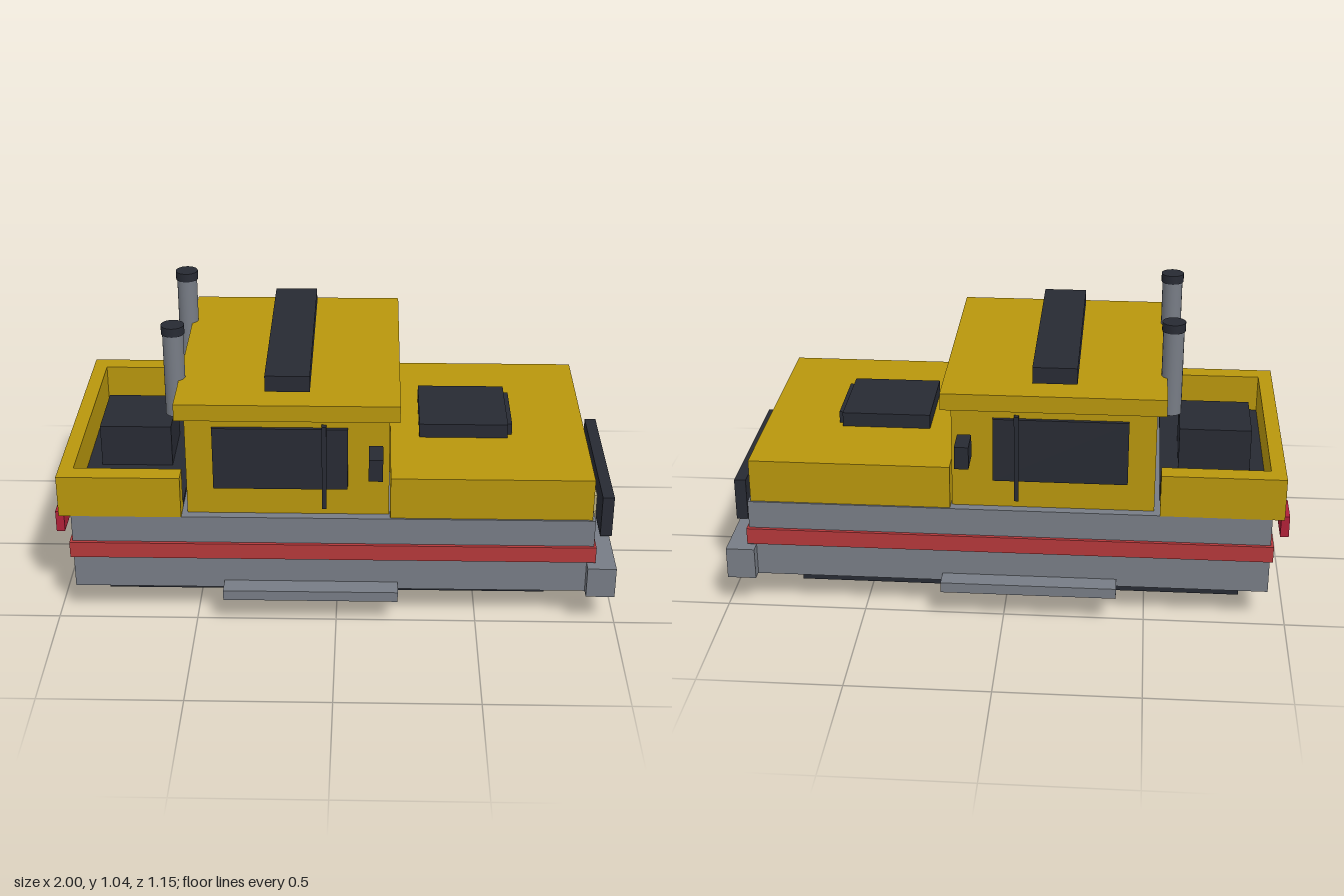
import * as THREE from 'three';

const mat = (color) => new THREE.MeshStandardMaterial({ color });

export function createModel() {
  const model = new THREE.Group();
  model.name = 'utilityVehicle';
  const yellow = mat(0xb8960c), grey = mat(0x777c85), dark = mat(0x272a33);
  const red = mat(0xb4383a), lampRed = mat(0xb02038), cream = mat(0xb5ab82);

  // Box given by its extents along each axis
  const box = (name, material, [x0, x1], [y0, y1], [z0, z1]) => {
    const mesh = new THREE.Mesh(new THREE.BoxGeometry(x1 - x0, y1 - y0, z1 - z0), material);
    mesh.position.set((x0 + x1) / 2, (y0 + y1) / 2, (z0 + z1) / 2);
    mesh.name = name;
    model.add(mesh);
    return mesh;
  };
  // The same box on both sides of the vehicle
  const pair = (name, material, x, y, [z0, z1]) => {
    box(name + 'Near', material, x, y, [z0, z1]);
    box(name + 'Far', material, x, y, [-z1, -z0]);
  };
  const cylinder = (name, material, r, y0, y1, x, z) => {
    const mesh = new THREE.Mesh(new THREE.CylinderGeometry(r, r, y1 - y0, 20), material);
    mesh.position.set(x, (y0 + y1) / 2, z);
    mesh.name = name;
    model.add(mesh);
  };

  // Chassis
  box('undercarriage', dark, [-0.845, 0.765], [0, 0.115], [-0.3, 0.3]);
  box('lowerBody', grey, [-0.935, 0.91], [0.122, 0.41], [-0.482, 0.482]);
  box('stripe', red, [-0.945, 0.918], [0.248, 0.308], [-0.495, 0.495]);
  box('bumper', grey, [0.888, 0.99], [0.125, 0.24], [-0.525, 0.525]);
  pair('sideStep', grey, [-0.4, 0.22], [0.112, 0.15], [0.47, 0.553]);

  // Nose
  box('hood', yellow, [0.19, 0.9], [0.41, 0.567], [-0.475, 0.475]);
  box('hoodVent', dark, [0.295, 0.615], [0.565, 0.62], [-0.16, 0.16]);
  box('hoodVentLip', dark, [0.61, 0.632], [0.567, 0.61], [-0.13, 0.13]);
  box('grille', dark, [0.955, 0.997], [0.25, 0.408], [-0.312, 0.312]);
  for (let i = -2; i <= 2; i++) {
    box('grilleSlat', dark, [0.895, 0.915], [0.27, 0.418], [i * 0.105 - 0.018, i * 0.105 + 0.018]);
  }
  pair('headlight', cream, [0.895, 0.92], [0.375, 0.468], [0.25, 0.4]);

  // Cab
  box('cab', yellow, [-0.525, 0.185], [0.41, 0.79], [-0.448, 0.448]);
  box('roof', yellow, [-0.557, 0.22], [0.784, 0.845], [-0.473, 0.473]);
  box('roofBar', dark, [-0.248, -0.092], [0.858, 0.917], [-0.39, 0.39]);
  pair('sideWindow', dark, [-0.43, 0.04], [0.515, 0.75], [0.44, 0.462]);
  pair('windowPost', dark, [-0.05, -0.034], [0.44, 0.762], [0.44, 0.467]);
  pair('mirror', dark, [0.113, 0.162], [0.61, 0.692], [0.468, 0.573]);

  // Rear tray: floor, three walls and a cargo box
  box('trayFloor', dark, [-0.93, -0.545], [0.41, 0.425], [-0.42, 0.42]);
  box('trayRearWall', yellow, [-0.977, -0.925], [0.41, 0.565], [-0.485, 0.485]);
  pair('traySideWall', yellow, [-0.925, -0.545], [0.41, 0.565], [0.415, 0.485]);
  box('cargoBox', dark, [-0.872, -0.612], [0.42, 0.583], [-0.13, 0.13]);
  pair('tailLight', lampRed, [-1.0, -0.97], [0.315, 0.395], [0.3, 0.428]);

  // Exhaust stacks
  for (const z of [-0.25, 0.25]) {
    cylinder('exhaustStack', grey, 0.037, 0.705, 1.03, -0.573, z);
    cylinder('exhaustCap', dark, 0.041, 1.013, 1.045, -0.573, z);
  }
  return model;
}
